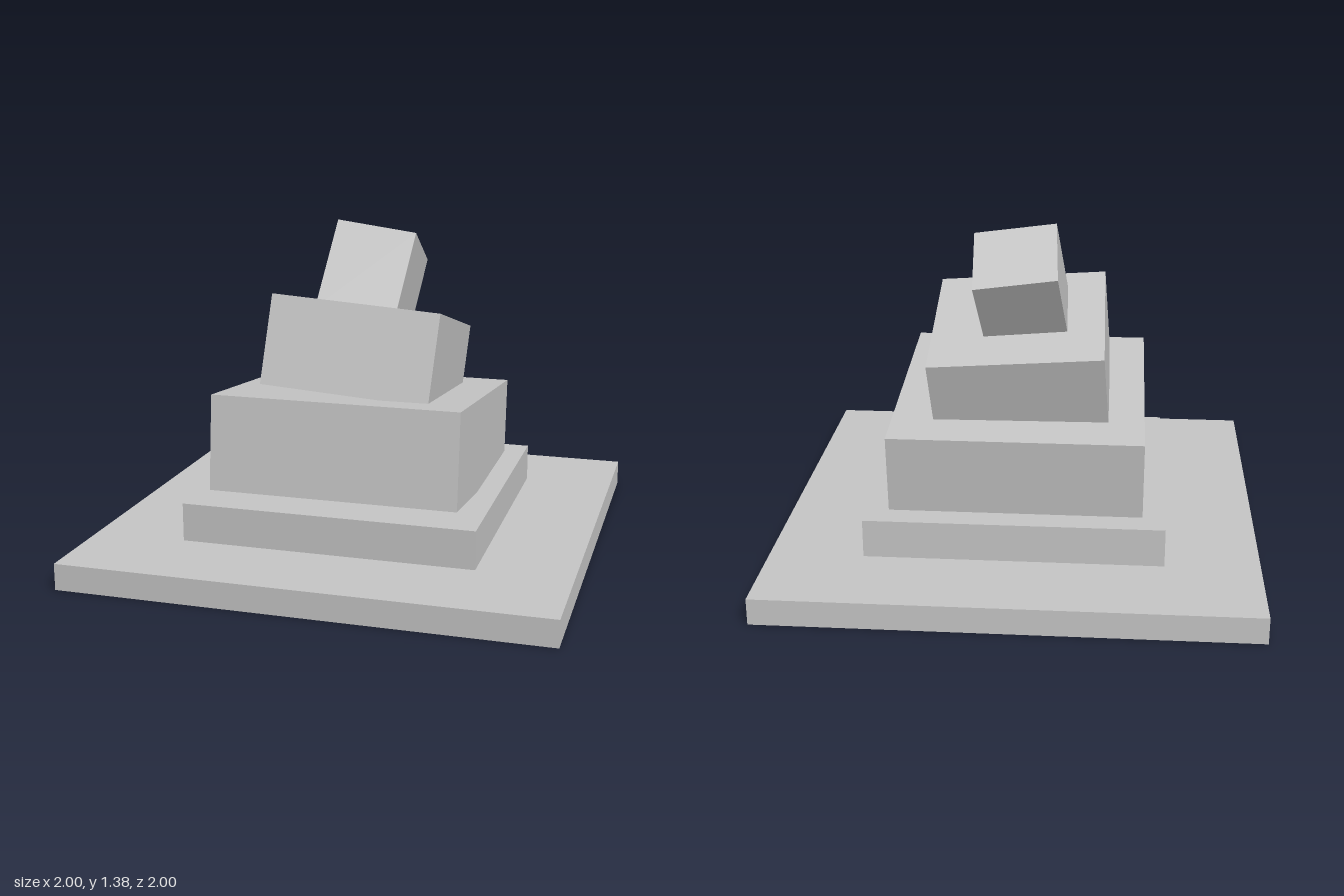
import * as THREE from 'three';

export function createModel() {
  const group = new THREE.Group();
  const stone = new THREE.MeshStandardMaterial({ color: 0xc8c8c8 });
  stone.name = 'pale grey stone';

  // Each tier: name, size, centre, backward tilt, sideways tilt
  const tiers = [
    ['basePlate', [2, 0.11, 2], [0, 0.055, 0], 0, 0],
    ['plinth', [1.225, 0.16, 1.225], [0, 0.19, 0], 0, 0],
    ['lowerBlock', [1.042, 0.398, 1.04], [0, 0.457, 0.002], -0.106, 0],
    ['middleBlock', [0.72, 0.381, 0.693], [0, 0.798, -0.041], -0.262, -0.068],
    ['topBlock', [0.346, 0.4, 0.342], [-0.002, 1.099, -0.101], -0.485, -0.132],
  ];

  for (const [name, size, centre, tiltBack, tiltSide] of tiers) {
    const block = new THREE.Mesh(new THREE.BoxGeometry(...size), stone);
    block.name = name;
    block.position.set(...centre);
    block.rotation.set(tiltBack, 0, tiltSide, 'ZXY');
    group.add(block);
  }
  return group;
}
